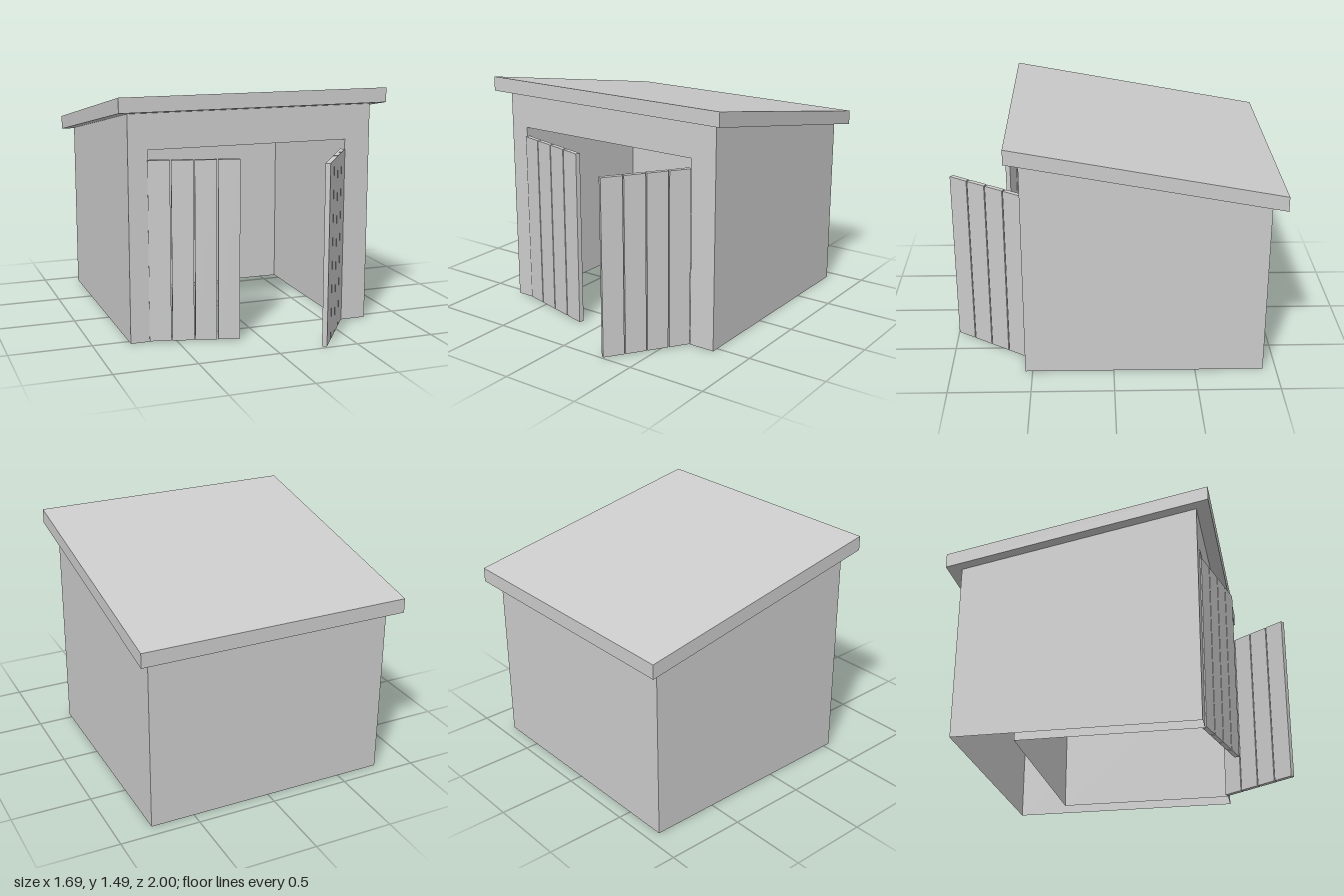
import * as THREE from 'three';

const solid = new THREE.MeshStandardMaterial({ color: 0xcccccc, flatShading: true });
const thin = new THREE.MeshStandardMaterial({ color: 0xcccccc, flatShading: true, side: THREE.DoubleSide });

// Shell: x is symmetric, z runs from back to front
const W = 0.775, BACK = -0.92, FRONT = 0.545;
// Recess behind the doorway
const R0 = -0.655, R1 = 0.61, RH = 1.165, RBACK = -0.57;
// Height of the roof underside at depth z
const eave = z => 1.395 + (z - 0.625) * (0.3 / 1.625);

function outline(points) {
  return new THREE.Shape(points.map(([x, y]) => new THREE.Vector2(x, y)));
}

// Flat thin panel, drawn in the xy plane
function panel(name, points) {
  const mesh = new THREE.Mesh(new THREE.ShapeGeometry(outline(points)), thin);
  mesh.name = name;
  return mesh;
}

const rect = (a, b, h) => [[a, 0], [b, 0], [b, h], [a, h]];

// Door of four upright boards; origin at the outer hinge corner, dir is the way it extends
function door(name, dir, x, z, angle) {
  const group = new THREE.Group();
  group.name = name;
  const count = 4, pitch = 0.1377, gap = 0.007, thick = 0.03, height = 1.1;
  for (let i = 0; i < count; i++) {
    const board = new THREE.Mesh(new THREE.BoxGeometry(pitch - gap, height, thick), solid);
    board.name = 'doorBoard';
    board.position.set(dir * (i * pitch + (pitch - gap) / 2), 0.005 + height / 2, -thick / 2);
    group.add(board);
  }
  group.position.set(x, 0, z);
  group.rotation.y = THREE.MathUtils.degToRad(angle);
  return group;
}

export function createModel() {
  const model = new THREE.Group();
  model.name = 'shed';

  // Front wall with doorway notch
  const front = panel('frontWall', [
    [-W, 0], [R0, 0], [R0, RH], [R1, RH], [R1, 0], [W, 0], [W, eave(FRONT)], [-W, eave(FRONT)],
  ]);
  front.position.z = FRONT;

  // Back wall
  const back = panel('backWall', rect(-W, W, eave(BACK)));
  back.position.z = BACK;
  back.rotation.y = Math.PI;
  model.add(front, back);

  // Sloping side walls
  for (const side of [-1, 1]) {
    const wall = panel(side > 0 ? 'leftWall' : 'rightWall',
      [[BACK, 0], [FRONT, 0], [FRONT, eave(FRONT)], [BACK, eave(BACK)]]);
    wall.rotation.y = -Math.PI / 2;
    wall.position.x = side * W;
    model.add(wall);
  }

  // Recess lining: two sides, back and ceiling
  for (const x of [R0, R1]) {
    const lining = panel('recessSide', rect(RBACK, FRONT, RH));
    lining.rotation.y = -Math.PI / 2;
    lining.position.x = x;
    model.add(lining);
  }
  const recessBack = panel('recessBack', rect(R0, R1, RH));
  recessBack.position.z = RBACK;
  const ceiling = panel('recessCeiling', rect(R0, R1, FRONT - RBACK));
  ceiling.rotation.x = Math.PI / 2;
  ceiling.position.set(0, RH, RBACK);
  model.add(recessBack, ceiling);

  // Single-pitch roof slab with upright edges
  const t = 0.09, z0 = -1, z1 = 0.625, span = 1.69;
  const slab = new THREE.ExtrudeGeometry(
    outline([[z0, eave(z0)], [z1, eave(z1)], [z1, eave(z1) + t], [z0, eave(z0) + t]]),
    { depth: span, bevelEnabled: false });
  slab.translate(0, 0, -span / 2);
  slab.rotateY(-Math.PI / 2);
  const roof = new THREE.Mesh(slab, solid);
  roof.name = 'roof';
  model.add(roof);

  // Doors standing open at different angles
  model.add(door('rightDoor', 1, -0.66, 0.553, -14.5));
  model.add(door('leftDoor', -1, 0.61, 0.55, 55.4));

  return model;
}
